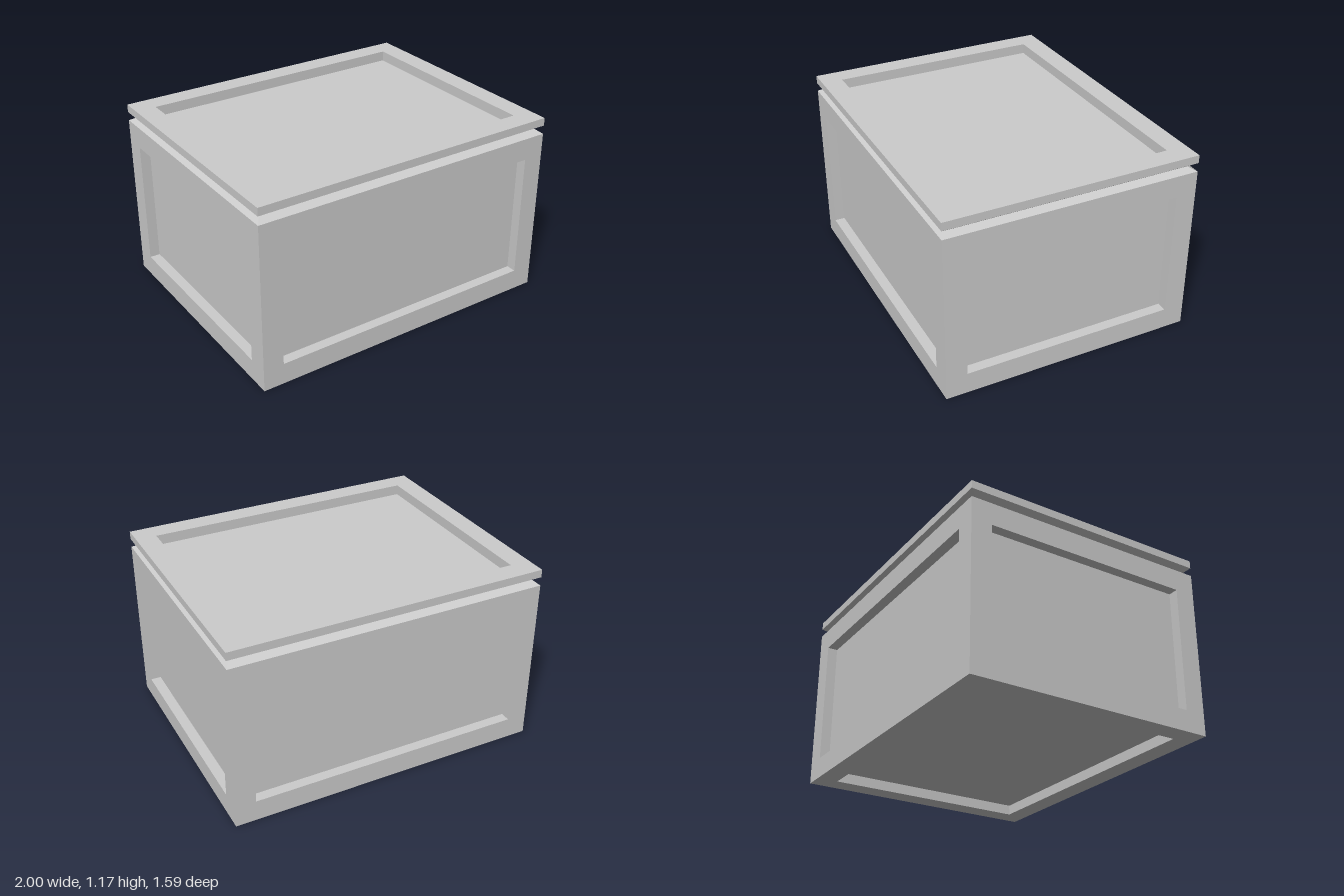
import * as THREE from 'three';
import { mergeGeometries } from 'three/addons/utils/BufferGeometryUtils.js';

const X = 1, Z = 0.797;              // half width and half depth
const BODY = 1.07, TOP = 1.175;      // body height and overall height
const RECESS = 0.065;                // depth of the sunken panels
const PX = 0.87, PZ = 0.665, PY0 = 0.135, PY1 = 0.93;

const rect = (P, x0, y0, x1, y1) => new P([
  new THREE.Vector2(x0, y0), new THREE.Vector2(x1, y0),
  new THREE.Vector2(x1, y1), new THREE.Vector2(x0, y1)]);

// Flat frame facing +z with a sunken panel: outer half width w, heights y0..y1
function recessedFace(w, y0, y1, pw, p0, p1) {
  const shape = rect(THREE.Shape, -w, y0, w, y1);
  shape.holes.push(rect(THREE.Path, -pw, p0, pw, p1));
  const ph = p1 - p0, mid = (p0 + p1) / 2;
  const parts = [new THREE.ShapeGeometry(shape),
    new THREE.PlaneGeometry(2 * pw, ph).translate(0, mid, -RECESS)];
  for (const s of [-1, 1]) {
    parts.push(new THREE.PlaneGeometry(RECESS, ph)
      .rotateY(-s * Math.PI / 2).translate(s * pw, mid, -RECESS / 2));
    parts.push(new THREE.PlaneGeometry(2 * pw, RECESS)
      .rotateX(s * Math.PI / 2).translate(0, s > 0 ? p1 : p0, -RECESS / 2));
  }
  return mergeGeometries(parts);
}

// Band through rectangular cross-sections [halfX, y, halfZ], bottom to top
function rectBand(levels) {
  const pos = [];
  const corner = ([x, y, z], k) => [[x, y, z], [x, y, -z], [-x, y, -z], [-x, y, z]][k % 4];
  for (let i = 0; i < levels.length - 1; i++) {
    for (let k = 0; k < 4; k++) {
      const a = corner(levels[i], k), b = corner(levels[i], k + 1);
      const c = corner(levels[i + 1], k + 1), d = corner(levels[i + 1], k);
      pos.push(...a, ...b, ...c, ...a, ...c, ...d);
    }
  }
  const g = new THREE.BufferGeometry();
  g.setAttribute('position', new THREE.Float32BufferAttribute(pos, 3));
  g.computeVertexNormals();
  return g;
}

export function createModel() {
  const group = new THREE.Group();
  const material = new THREE.MeshStandardMaterial({ color: 0xcccccc, flatShading: true });
  const add = (name, geometry) => {
    const mesh = new THREE.Mesh(geometry, material);
    mesh.name = name;
    group.add(mesh);
  };

  // Four sides of the box
  const long = () => recessedFace(X, 0, BODY, PX, PY0, PY1);
  const short = () => recessedFace(Z, 0, BODY, PZ, PY0, PY1);
  add('frontPanel', long().translate(0, 0, Z));
  add('backPanel', long().translate(0, 0, Z).rotateY(Math.PI));
  add('leftPanel', short().translate(0, 0, X).rotateY(Math.PI / 2));
  add('rightPanel', short().translate(0, 0, X).rotateY(-Math.PI / 2));

  // Top and underside
  const flat = () => recessedFace(X, -Z, Z, PX, -PZ, PZ);
  add('lidTop', flat().rotateX(-Math.PI / 2).translate(0, TOP, 0));
  add('basePanel', flat().rotateX(Math.PI / 2));

  // V-shaped groove between body and lid, then the lid's edge
  add('lidGroove', rectBand([[X, BODY, Z], [0.963, 1.098, Z - 0.05], [X, 1.125, Z]]));
  add('lidEdge', rectBand([[X, 1.125, Z], [X, TOP, Z]]));

  return group;
}
